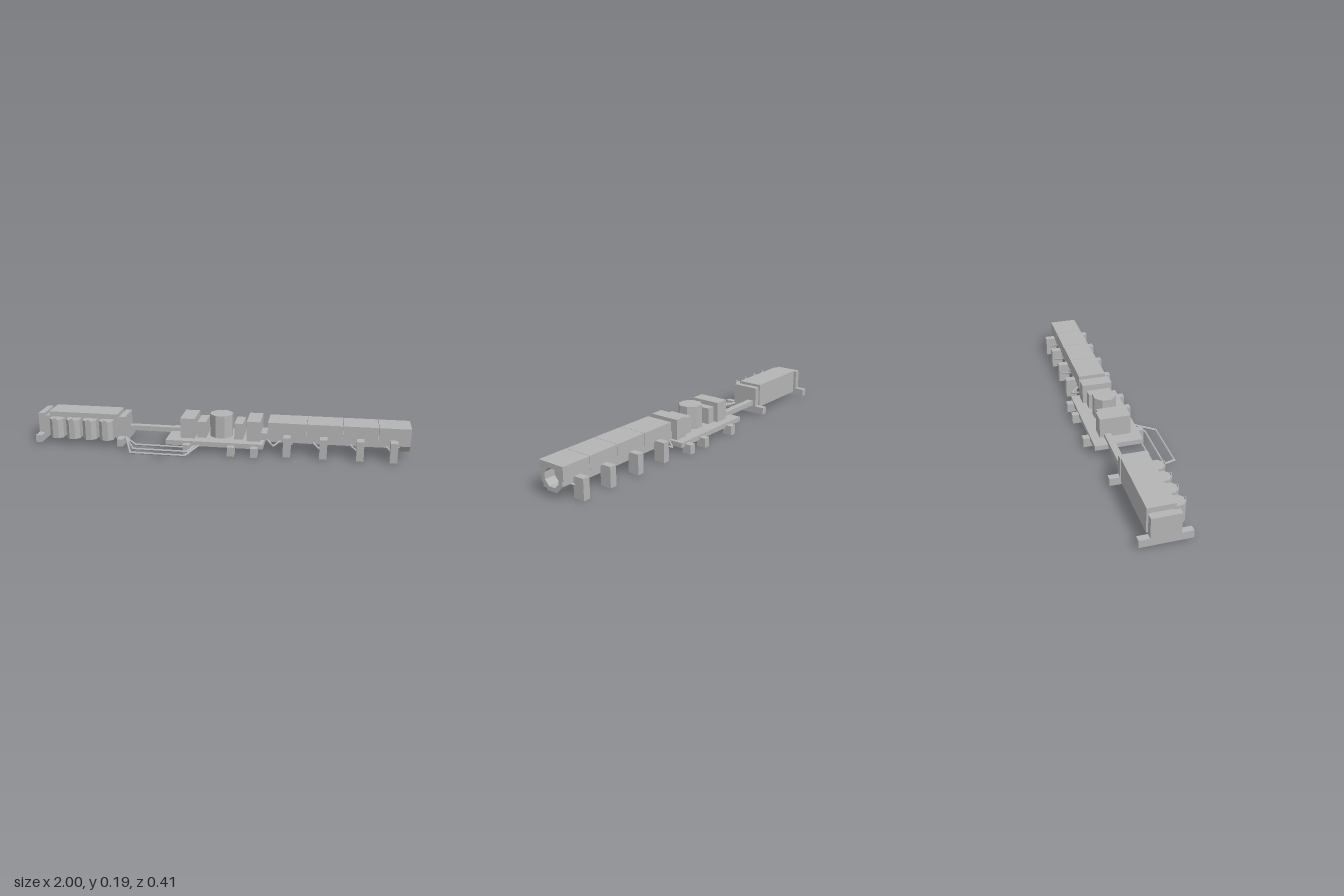
import * as THREE from 'three';

export function createModel() {
  const model = new THREE.Group();
  model.name = 'machineryTrain';
  const grey = new THREE.MeshStandardMaterial({ color: 0xb4b4b4, flatShading: true });
  grey.name = 'plain grey';
  const MID = -0.041; // z of the long axis

  function add(name, geometry, x = 0, y = 0, z = 0) {
    const mesh = new THREE.Mesh(geometry, grey);
    mesh.name = name;
    mesh.position.set(x, y, z);
    model.add(mesh);
    return mesh;
  }
  // box from its minimum and maximum on each axis
  function box(name, x0, x1, y0, y1, z0, z1) {
    return add(name, new THREE.BoxGeometry(x1 - x0, y1 - y0, z1 - z0),
      (x0 + x1) / 2, (y0 + y1) / 2, (z0 + z1) / 2);
  }
  // upright octagonal drum with flats facing the axes
  function drum(name, x, z, apothem, y0, y1) {
    const r = apothem / Math.cos(Math.PI / 8);
    const g = new THREE.CylinderGeometry(r, r, y1 - y0, 8);
    g.rotateY(Math.PI / 8);
    return add(name, g, x, (y0 + y1) / 2, z);
  }
  // bent pipe made of straight hexagonal pieces
  function pipe(name, points, radius) {
    for (let i = 0; i < points.length - 1; i++) {
      const a = new THREE.Vector3(...points[i]);
      const d = new THREE.Vector3(...points[i + 1]).sub(a);
      const piece = add(name, new THREE.CylinderGeometry(radius, radius, d.length() + radius * 0.6, 6));
      piece.position.copy(a).addScaledVector(d, 0.5);
      piece.quaternion.setFromUnitVectors(new THREE.Vector3(0, 1, 0), d.normalize());
    }
  }
  // cross-section drawn in (z, y), pushed along x
  function alongX(name, shape, x0, x1) {
    const g = new THREE.ExtrudeGeometry(shape, { depth: x1 - x0, bevelEnabled: false });
    g.rotateY(Math.PI / 2);
    return add(name, g, x0, 0.098, MID);
  }
  function octagon(apothem) {
    const r = apothem / Math.cos(Math.PI / 8);
    return Array.from({ length: 8 }, (_, i) => {
      const a = (i + 0.5) * Math.PI / 4;
      return new THREE.Vector2(r * Math.cos(a), r * Math.sin(a));
    });
  }

  // ---- tank block at the right end, held between two frames
  box('tankBlock', -0.94, -0.555, 0.035, 0.168, -0.115, 0.022);
  for (const [x0, x1] of [[-1, -0.967], [-0.543, -0.51]]) {
    box('frameFoot', x0, x1, 0.01, 0.05, -0.168, 0.088);
    box('frameUpright', x0, x1, 0.05, 0.158, -0.115, 0.03);
  }
  box('frameLinkRight', -0.967, -0.94, 0.05, 0.14, -0.1, 0.01);
  box('frameLinkLeft', -0.555, -0.543, 0.05, 0.14, -0.1, 0.01);
  for (let i = 0; i < 4; i++) {
    const x = -0.888 + i * 0.0927;
    drum('tank', x, 0.042, 0.038, 0.035, 0.14);
    box('tankTab', x - 0.008, x + 0.008, 0.12, 0.15, 0.079, 0.084);
  }

  // ---- connecting beam and three bent pipes
  box('connectingBeam', -0.51, -0.2, 0.055, 0.082, -0.1, -0.065);
  for (const [z, y, xEnd] of [[0.198, 0.02, -0.09], [0.138, 0.02, -0.11], [0.085, 0.025, -0.12]]) {
    pipe('bentPipe', [[-0.51, 0.042, 0.025], [-0.44, y, z], [-0.15, y, z], [xEnd, 0.042, 0.07]], 0.006);
  }

  // ---- middle platform with feet and machine boxes
  box('platform', -0.275, 0.245, 0.036, 0.062, -0.168, 0.088);
  for (const x of [-0.158, 0.078, 0.2]) {
    box('platformFootFront', x - 0.018, x + 0.018, 0, 0.05, 0.07, 0.122);
    box('platformFootBack', x - 0.018, x + 0.018, 0, 0.05, -0.204, -0.152);
  }
  box('largeCabinetRight', -0.203, -0.125, 0.06, 0.17, -0.123, 0.041);
  box('largeCabinetLeft', 0.152, 0.225, 0.06, 0.17, -0.123, 0.041);
  box('smallCabinetRight', -0.113, -0.067, 0.06, 0.15, -0.105, 0.022);
  box('smallCabinetLeft', 0.085, 0.131, 0.06, 0.15, -0.105, 0.022);
  drum('centreDrum', 0.008, MID, 0.059, 0.06, 0.185);

  // ---- long segmented duct
  box('ductBeam', 0.265, 0.94, 0.06, 0.099, MID - 0.066, MID + 0.066);
  box('ductLink', 0.22, 0.27, 0.06, 0.1, MID - 0.05, MID + 0.05);
  const arch = octagon(0.066).filter(p => p.y > 0); // right to left
  const cover = new THREE.Shape([
    new THREE.Vector2(-0.075, 0), new THREE.Vector2(-0.066, 0), ...arch.slice().reverse(),
    new THREE.Vector2(0.066, 0), new THREE.Vector2(0.075, 0),
    new THREE.Vector2(0.075, 0.07), new THREE.Vector2(-0.075, 0.07),
  ]);
  const cuts = [0.264, 0.469, 0.656, 0.838, 1.0];
  for (let i = 0; i < 4; i++) {
    alongX('ductCover', cover, cuts[i], cuts[i + 1] - (i < 3 ? 0.002 : 0));
  }
  alongX('ductInnerWall', new THREE.Shape(octagon(0.066)), 0.264, 0.268);

  // open octagonal mouth at the end
  const ring = new THREE.Shape(octagon(0.066));
  ring.holes.push(new THREE.Path(octagon(0.044).reverse()));
  alongX('ductMouth', ring, 0.94, 0.999);
  alongX('ductMouthBack', new THREE.Shape(octagon(0.066)), 0.936, 0.94);

  // ---- legs and bent struts on both sides of the duct
  const legs = [0.368, 0.557, 0.746, 0.916];
  const struts = [0.262, 0.5, 0.69, 0.873];
  for (const s of [1, -1]) {
    for (const x of legs) {
      for (const [name, y] of [['legLower', 0.026], ['legUpper', 0.0785]]) {
        add(name, new THREE.BoxGeometry(0.038, 0.0525, 0.061), x, y, MID + s * 0.0985);
      }
    }
    for (const x of struts) {
      pipe('strut', [[x, 0.068, MID + s * 0.062], [x + 0.035, 0.052, MID + s * 0.11],
        [x + 0.07, 0.068, MID + s * 0.062]], 0.005);
    }
  }
  return model;
}
